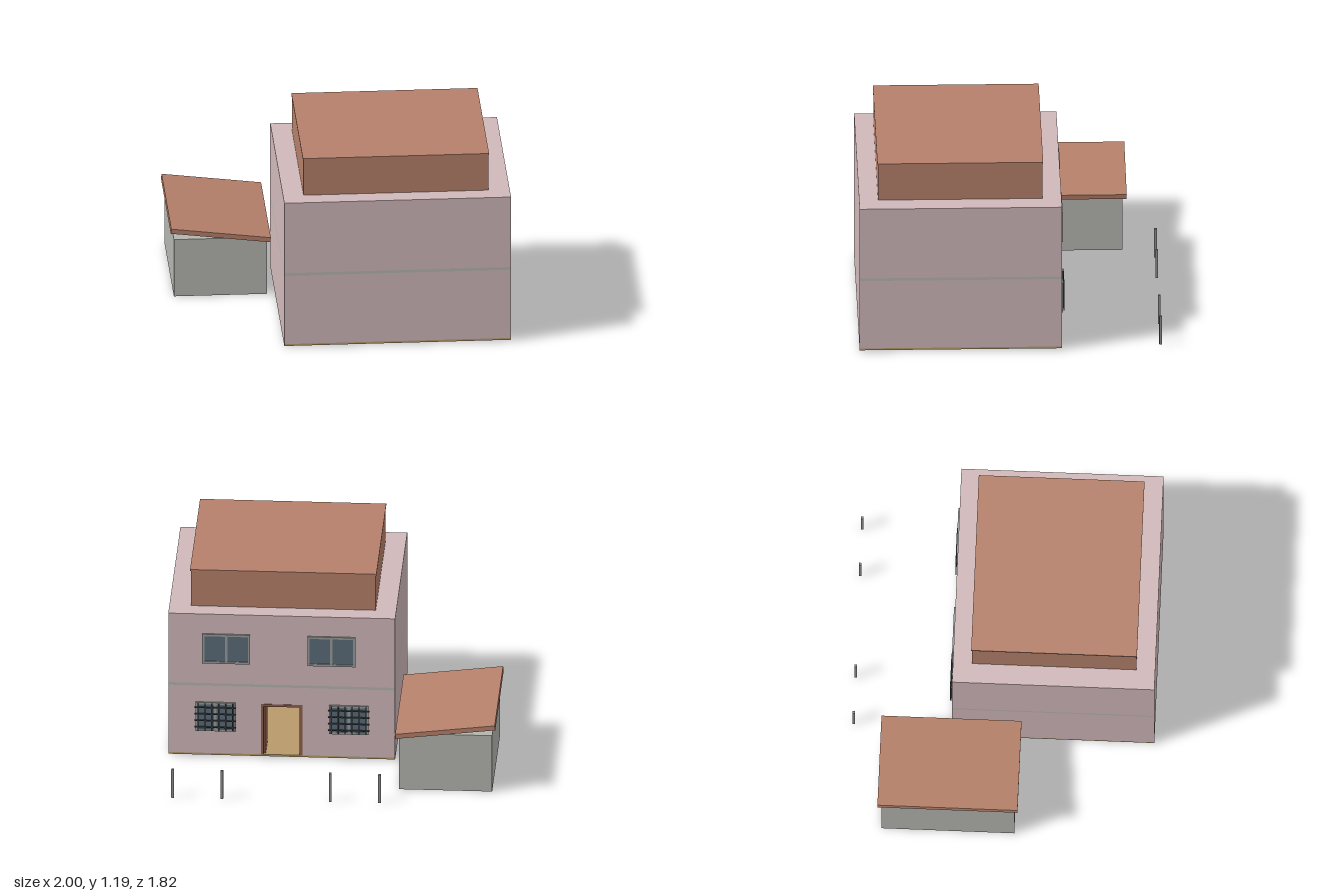
import * as THREE from 'three';

const mat = (name, color) => {
  const m = new THREE.MeshStandardMaterial({ color });
  m.name = name;
  return m;
};

export function createModel() {
  const pink = mat('pink plaster', 0xd0b8ba);
  const terracotta = mat('terracotta roof', 0xb5806a);
  const concrete = mat('grey concrete', 0xb4b5b0);
  const tan = mat('tan floor', 0xb89a6a);
  const wood = mat('brown wood', 0x8f604c);
  const frameGrey = mat('grey frame', 0x989c9a);
  const glass = mat('blue grey glass', 0x5a6c78);
  const iron = mat('dark iron', 0x3c4348);
  const postGrey = mat('post grey', 0x8c8e8e);

  const model = new THREE.Group();
  model.name = 'houseWithShed';

  // Box given by its minimum and maximum corners
  const box = (name, m, x0, x1, y0, y1, z0, z1, parent = model) => {
    const mesh = new THREE.Mesh(new THREE.BoxGeometry(x1 - x0, y1 - y0, z1 - z0), m);
    mesh.position.set((x0 + x1) / 2, (y0 + y1) / 2, (z0 + z1) / 2);
    mesh.name = name;
    parent.add(mesh);
    return mesh;
  };

  // House footprint and levels
  const X0 = -0.37, X1 = 1, Z0 = -0.31, Z1 = 0.91, T = 0.03;
  const floorTop = 0.02, slabLow = 0.468, slabTop = 0.485, wallTop = 0.945;
  const doorL = 0.19, doorR = 0.44, doorTop = 0.355;

  box('groundFloor', tan, X0, X1, 0.008, floorTop, Z0, Z1);
  box('frontWall', pink, X0, X1, floorTop, slabLow, Z1 - T, Z1);
  box('rightWall', pink, X0, X0 + T, floorTop, slabLow, Z0 + T, Z1 - T);
  box('leftWall', pink, X1 - T, X1, floorTop, slabLow, Z0 + T, Z1 - T);

  // Back wall with the doorway cut out
  const outline = new THREE.Shape([
    [X0, floorTop], [doorL, floorTop], [doorL, doorTop], [doorR, doorTop],
    [doorR, floorTop], [X1, floorTop], [X1, slabLow], [X0, slabLow],
  ].map(([x, y]) => new THREE.Vector2(x, y)));
  const backWall = new THREE.Mesh(
    new THREE.ExtrudeGeometry(outline, { depth: T, bevelEnabled: false }), pink);
  backWall.position.z = Z0;
  backWall.name = 'backWall';
  model.add(backWall);

  box('floorSlab', concrete, X0, X1, slabLow, slabTop, Z0, Z1);
  box('upperStorey', pink, X0, X1, slabTop, wallTop, Z0, Z1);

  // Roof block with a thin cap
  box('roofBlock', terracotta, -0.246, 0.871, wallTop, 1.177, -0.196, 0.796);
  box('roofCap', terracotta, -0.25, 0.875, 1.177, 1.187, -0.2, 0.8);

  // Door frame and leaf standing open into the house
  const door = new THREE.Group();
  door.name = 'door';
  model.add(door);
  const J = 0.016;
  box('doorJambRight', wood, doorL, doorL + J, floorTop, doorTop, Z0 - 0.003, Z0 + 0.018, door);
  box('doorJambLeft', wood, doorR - J, doorR, floorTop, doorTop, Z0 - 0.003, Z0 + 0.018, door);
  box('doorHead', wood, doorL, doorR, doorTop - J, doorTop, Z0 - 0.003, Z0 + 0.018, door);
  box('doorLeaf', wood, doorR - J - 0.012, doorR - J, floorTop, doorTop - J, Z0 + 0.018, Z0 + 0.17, door);

  // Two-pane window on the back wall
  const addWindow = (x0, x1, y0, y1) => {
    const g = new THREE.Group();
    g.name = 'window';
    model.add(g);
    const f = 0.014, zf = Z0 - 0.01, mid = (x0 + x1) / 2;
    box('windowGlass', glass, x0 + f, x1 - f, y0 + f, y1 - f, Z0 - 0.004, Z0, g);
    for (const x of [x0, x1 - f, mid - f / 2]) {
      box('windowStile', frameGrey, x, x + f, y0, y1, zf, Z0, g);
    }
    for (const y of [y0, y1 - f]) {
      box('windowRail', frameGrey, x0 + f, x1 - f, y, y + f, zf, Z0, g);
    }
    return g;
  };

  // Iron bars in front of a window
  const addGrille = (x0, x1, y0, y1) => {
    const g = new THREE.Group();
    g.name = 'windowGrille';
    model.add(g);
    const r = 0.0035, z = Z0 - 0.016;
    for (let i = 0; i < 6; i++) {
      const x = x0 + 0.02 + (x1 - x0 - 0.04) * i / 5;
      box('verticalBar', iron, x - r, x + r, y0, y1, z - r, z + r, g);
    }
    for (let i = 0; i < 4; i++) {
      const y = y0 + 0.025 + (y1 - y0 - 0.05) * i / 3;
      box('crossBar', iron, x0, x1, y - r, y + r, z - r - 0.001, z + r - 0.001, g);
    }
  };

  for (const x of [-0.13, 0.505]) addWindow(x, x + 0.29, 0.62, 0.815);
  for (const x of [-0.215, 0.59]) {
    addWindow(x + 0.005, x + 0.245, 0.17, 0.36);
    addGrille(x, x + 0.25, 0.175, 0.355);
  }

  // Shed with a sloping roof
  box('shedBody', concrete, -0.98, -0.417, 0, 0.372, -0.71, 0.09);
  const shedRoof = box('shedRoof', terracotta, -1.001, -0.395, 0.383, 0.413, -0.735, 0.11);
  shedRoof.rotation.z = -0.122;

  // Free-standing yard posts
  for (const x of [-0.312, -0.014, 0.64, 0.938]) {
    box('yardPost', postGrey, x - 0.008, x + 0.008, 0, 0.187, -0.914, -0.898);
  }

  return model;
}
